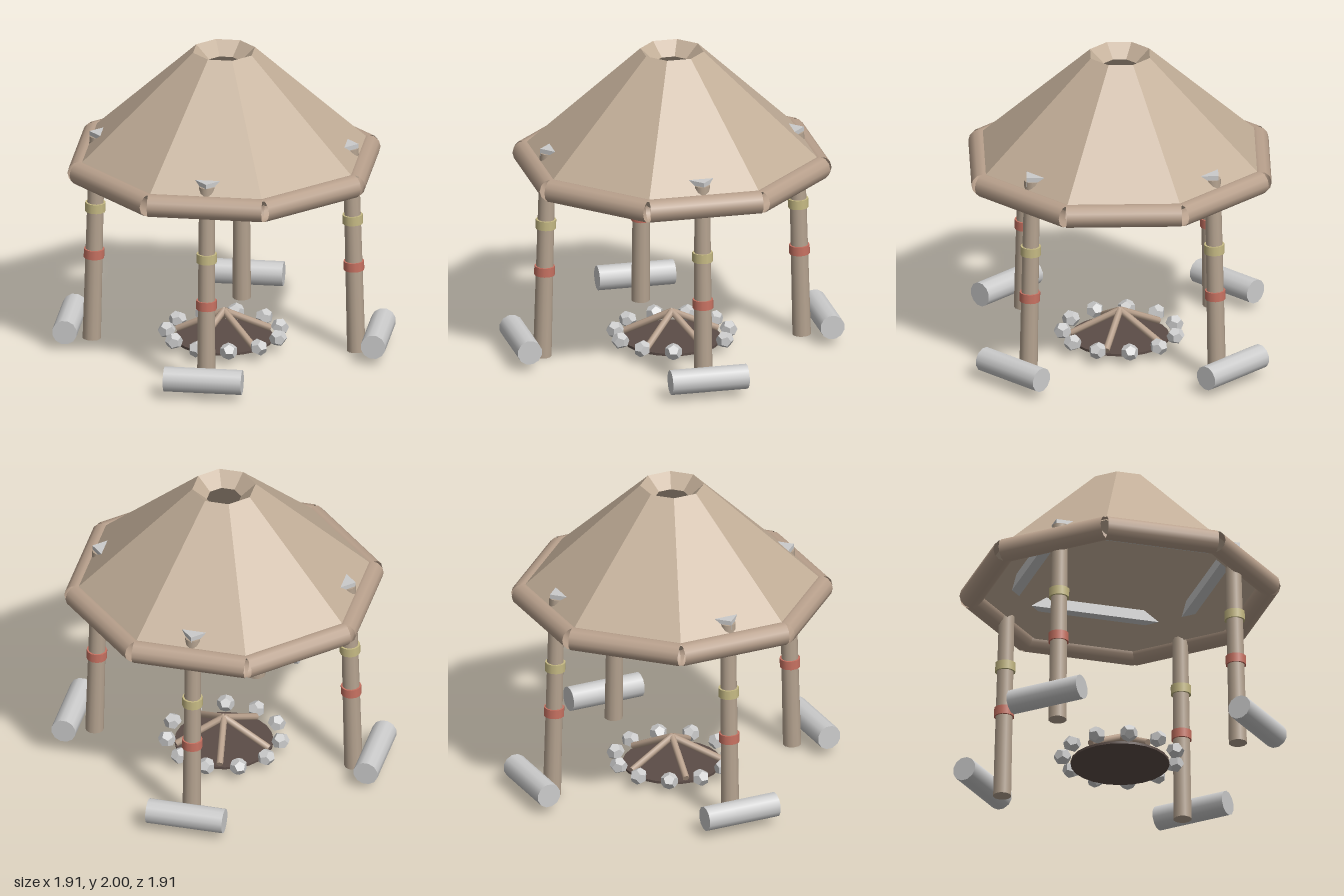
import * as THREE from 'three';

const mat = (color, flatShading = false, side = THREE.FrontSide) =>
  new THREE.MeshStandardMaterial({ color, flatShading, side });
const roofMat = mat(0xc2ae98, true);
const rimMat = mat(0xb8a08c, false, THREE.DoubleSide);
const postMat = mat(0xb5a390);
const stickMat = mat(0xb8a08c);
const greyMat = mat(0xcccccc);
const stoneMat = mat(0xcccccc, true);
const redMat = mat(0xc87262);
const yellowMat = mat(0xc6ba84);
const ashMat = mat(0x5c4d47);

function add(parent, name, geometry, material, x = 0, y = 0, z = 0) {
  const mesh = new THREE.Mesh(geometry, material);
  mesh.name = name;
  mesh.position.set(x, y, z);
  parent.add(mesh);
  return mesh;
}

// Round bar between two points
function bar(parent, name, from, to, r0, r1, material, sides = 12) {
  const dir = to.clone().sub(from);
  const mesh = add(parent, name, new THREE.CylinderGeometry(r1, r0, dir.length(), sides), material);
  mesh.position.copy(from).add(to).multiplyScalar(0.5);
  mesh.quaternion.setFromUnitVectors(new THREE.Vector3(0, 1, 0), dir.normalize());
  return mesh;
}

export function createModel() {
  const model = new THREE.Group();
  model.name = 'campfireShelter';

  // Thick eight-sided roof with an open smoke hole; profile given as apothem and height
  const k = 1 / Math.cos(Math.PI / 8);
  const profile = [[0.875, 1.313], [0.188, 2], [0.102, 1.915], [0.789, 1.228], [0.875, 1.313]]
    .map(([a, y]) => new THREE.Vector2(a * k, y));
  add(model, 'roof', new THREE.LatheGeometry(profile, 8, Math.PI / 8), roofMat);

  // Hollow logs around the eaves
  for (let i = 0; i < 8; i++) {
    const a = (i * Math.PI) / 4;
    const geo = new THREE.CylinderGeometry(0.075, 0.075, 0.735, 12, 1, true).rotateZ(Math.PI / 2);
    add(model, 'eaveLog', geo, rimMat, 0.88 * Math.sin(a), 1.255, 0.88 * Math.cos(a)).rotation.y = a;
  }

  // Cross beams joining the post heads
  for (const s of [-1, 1]) {
    add(model, 'crossBeam', new THREE.BoxGeometry(1.22, 0.07, 0.07), greyMat, 0, 1.37, s * 0.575);
    add(model, 'sideBeam', new THREE.BoxGeometry(0.07, 0.07, 1.22), greyMat, s * 0.575, 1.37, 0);
  }

  for (const sx of [-1, 1]) {
    for (const sz of [-1, 1]) {
      // Post leaning slightly inward, with two painted bands
      const foot = new THREE.Vector3(sx * 0.6, 0.003, sz * 0.6);
      const head = new THREE.Vector3(sx * 0.575, 1.375, sz * 0.575);
      bar(model, 'post', foot, head, 0.059, 0.05, postMat);
      const at = (y) => foot.clone().lerp(head, y / 1.375);
      bar(model, 'redBand', at(0.55), at(0.61), 0.066, 0.066, redMat);
      bar(model, 'yellowBand', at(0.865), at(0.925), 0.066, 0.066, yellowMat);

      // Log bench lying across the corner
      const bench = add(model, 'benchLog', new THREE.CylinderGeometry(0.08, 0.08, 0.5, 12),
        greyMat, sx * 0.7, 0.122, sz * 0.7);
      bench.quaternion.setFromUnitVectors(new THREE.Vector3(0, 1, 0),
        new THREE.Vector3(sx, 0, -sz).normalize());
    }
  }

  // Fire pit: ash bed, ring of stones and leaning sticks
  const pit = new THREE.Group();
  pit.name = 'firePit';
  model.add(pit);
  add(pit, 'ashBed', new THREE.CylinderGeometry(0.315, 0.315, 0.016, 24), ashMat, 0, 0.048, 0);
  for (let i = 0; i < 11; i++) {
    const a = (i / 11) * Math.PI * 2;
    const stone = add(pit, 'stone', new THREE.DodecahedronGeometry(0.058), stoneMat,
      0.365 * Math.cos(a), 0.09, 0.365 * Math.sin(a));
    stone.rotation.y = -a;
    stone.scale.y = 0.95;
  }
  for (let i = 0; i < 5; i++) {
    const a = (i / 5) * Math.PI * 2;
    bar(pit, 'stick', new THREE.Vector3(0.31 * Math.cos(a), 0.075, 0.31 * Math.sin(a)),
      new THREE.Vector3(0, 0.23, 0), 0.022, 0.022, stickMat, 8);
  }

  return model;
}
